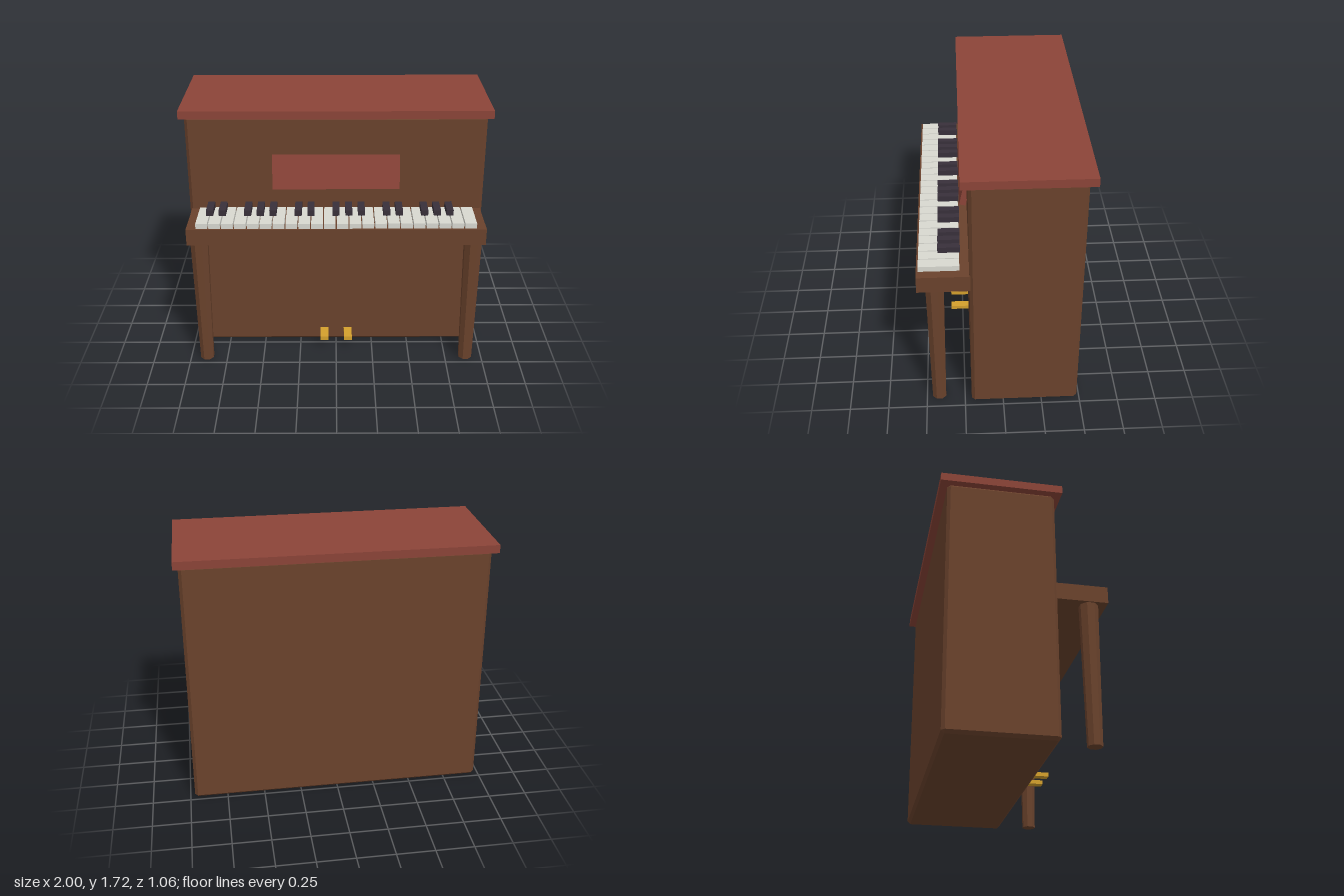
import * as THREE from 'three';
import { ConvexGeometry } from 'three/addons/geometries/ConvexGeometry.js';

const material = (name, color) => {
  const m = new THREE.MeshStandardMaterial({ color });
  m.name = name;
  return m;
};

// Box with every edge cut by c
function chamferedBox(w, h, d, c) {
  const points = [];
  for (const sx of [-1, 1]) for (const sy of [-1, 1]) for (const sz of [-1, 1]) {
    for (const [a, b, e] of [[0, c, c], [c, 0, c], [c, c, 0]]) {
      points.push(new THREE.Vector3(sx * (w / 2 - a), sy * (h / 2 - b), sz * (d / 2 - e)));
    }
  }
  return new ConvexGeometry(points);
}

export function createModel() {
  const piano = new THREE.Group();
  piano.name = 'uprightPiano';

  const wood = material('brownWood', 0x6a422c);
  const redWood = material('redWood', 0x8b4438);
  const ivory = material('ivory', 0xd8d8d0);
  const ebony = material('ebony', 0x38303a);
  const brass = material('brass', 0xd4a02c);

  const add = (name, geometry, mat, x, y, z, parent = piano) => {
    const mesh = new THREE.Mesh(geometry, mat);
    mesh.name = name;
    mesh.position.set(x, y, z);
    parent.add(mesh);
    return mesh;
  };
  const box = (w, h, d) => new THREE.BoxGeometry(w, h, d);

  // Case and overhanging lid
  add('case', chamferedBox(1.94, 1.67, 0.69, 0.02), wood, 0, 0.835, -0.138);
  add('lid', box(2, 0.053, 0.78), redWood, 0, 1.696, -0.139);

  // Shelf under the keys, running into the case
  add('keyBed', box(1.912, 0.11, 0.35), wood, 0, 0.975, 0.353);

  // Music stand leaning back into the case
  add('musicStand', box(0.83, 0.26, 0.042), redWood, 0, 1.312, 0.208).rotation.x = -0.22;

  // Keyboard: 22 white keys, black keys in groups of two and three
  const keyboard = new THREE.Group();
  keyboard.name = 'keyboard';
  piano.add(keyboard);
  const count = 22, pitch = 0.0816;
  const whiteKey = box(0.074, 0.036, 0.25);
  const blackKey = box(0.045, 0.04, 0.138);
  for (let i = 0; i < count; i++) {
    const x = (i - (count - 1) / 2) * pitch;
    add('whiteKey', whiteKey, ivory, x, 1.047, 0.39, keyboard);
    if (i < count - 1 && [0, 1, 3, 4, 5].includes(i % 7)) {
      add('blackKey', blackKey, ebony, x + pitch / 2, 1.083, 0.328, keyboard);
    }
  }

  // Tapered faceted front legs and the two pedals
  const leg = new THREE.CylinderGeometry(0.061, 0.047, 0.925, 8).rotateY(Math.PI / 8).toNonIndexed();
  leg.computeVertexNormals();
  const pedal = box(0.055, 0.026, 0.16);
  for (const side of [-1, 1]) {
    add('frontLeg', leg, wood, side * 0.89, 0.4625, 0.419);
    add('pedal', pedal, brass, side * 0.082, 0.085, 0.253);
  }
  return piano;
}
